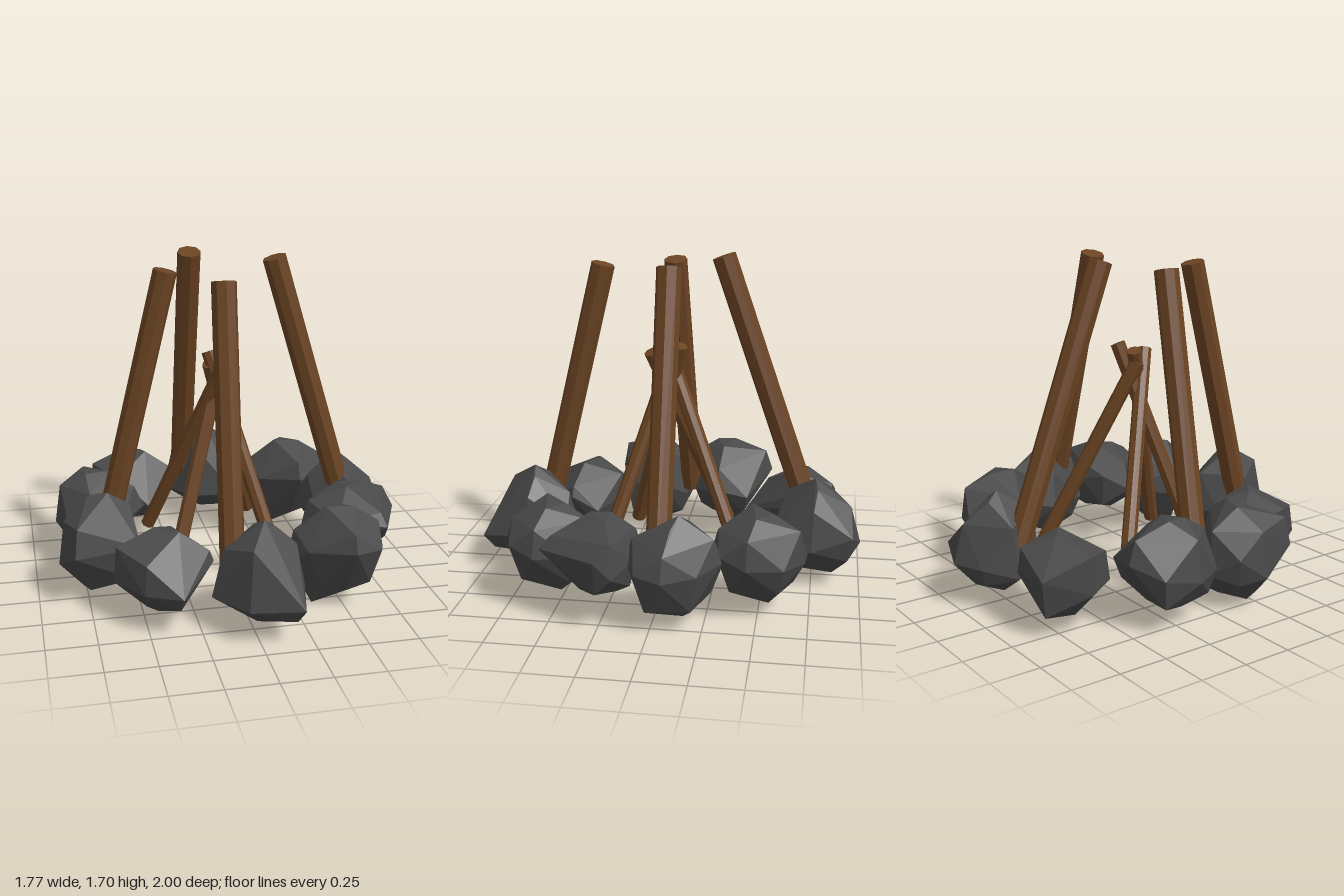
import * as THREE from 'three';
import { ConvexGeometry } from 'three/addons/geometries/ConvexGeometry.js';

const stone = new THREE.MeshStandardMaterial({ color: 0x484848, flatShading: true });
const wood = new THREE.MeshStandardMaterial({ color: 0x6b4423, flatShading: true });

// Faceted boulder: hull of a plan outline at its widest level, with rings
// above and below scaled by "top" and "bottom", plus optional peak and foot.
function rockGeometry({ outline, y0, y1, level = 0.5, top = 0.85, bottom = 0.85, corners = [] }, seed) {
  const random = () => (seed = (seed * 16807) % 2147483647) / 2147483647;
  const cx = outline.reduce((s, p) => s + p[0], 0) / outline.length;
  const cz = outline.reduce((s, p) => s + p[1], 0) / outline.length;
  const points = corners.map((c) => new THREE.Vector3(...c));
  const ring = (scale, height, wobble, step, start) => {
    for (let i = start; i < outline.length; i += step) {
      const s = scale * (scale < 1 ? 0.95 + 0.1 * random() : 1);
      const t = THREE.MathUtils.clamp(height + wobble * (random() - 0.5), 0, 1);
      points.push(new THREE.Vector3(
        cx + (outline[i][0] - cx) * s,
        y0 + (y1 - y0) * t,
        cz + (outline[i][1] - cz) * s));
    }
  };
  ring(1, level, 0.25, 1, 0);
  ring(top, 0.78, 0.14, 2, 0);
  ring(0.3, 0.97, 0.06, 3, 1);
  ring(bottom, 0.17, 0.12, 2, 1);
  ring(0.4, 0.02, 0.05, 3, 0);
  return new ConvexGeometry(points);
}

// Octagonal pole between two points.
function pole(name, from, to, radius) {
  const a = new THREE.Vector3(...from), b = new THREE.Vector3(...to);
  const dir = b.clone().sub(a);
  const mesh = new THREE.Mesh(new THREE.CylinderGeometry(radius, radius, dir.length(), 8), wood);
  mesh.position.copy(a).add(b).multiplyScalar(0.5);
  mesh.quaternion.setFromUnitVectors(new THREE.Vector3(0, 1, 0), dir.normalize());
  mesh.name = name;
  return mesh;
}

// Plan outlines (x, z); "repeat" places a second copy further forward.
const rocks = [
  { y0: 0.06, y1: 0.54, level: 0.36, top: 0.76, repeat: 1.495, corners: [[.05, .56, -.76]],
    outline: [[-.2, -.78], [-.08, -.92], [.06, -1], [.2, -.96], [.25, -.75], [.19, -.5], [-.06, -.57]] },
  { y0: 0.06, y1: 0.46, top: 0.92, repeat: 1.19,
    outline: [[-.645, -.65], [-.55, -.865], [-.33, -.865], [-.19, -.74], [-.165, -.6], [-.35, -.37],
      [-.52, -.47]] },
  { y0: 0.07, y1: 0.53,
    outline: [[-.88, -.2], [-.85, -.39], [-.71, -.495], [-.4, -.37], [-.4, -.2], [-.55, -.06],
      [-.71, -.02], [-.82, -.06]] },
  { y0: 0.035, y1: 0.53, level: 0.4,
    outline: [[-.89, .2], [-.84, .07], [-.71, -.02], [-.58, 0], [-.485, .14], [-.485, .34], [-.82, .415]] },
  { y0: 0.08, y1: 0.52, bottom: 0.72, repeat: 1.035, corners: [[.35, 0, -.5], [.4, .535, -.46]],
    outline: [[.22, -.51], [.4, -.735], [.51, -.725], [.64, -.63], [.7, -.45], [.65, -.32], [.51, -.275],
      [.3, -.39]] },
  { y0: 0.14, y1: 0.54,
    outline: [[.36, .27], [.43, .14], [.56, .07], [.72, .08], [.87, .16], [.87, .25], [.74, .54],
      [.5, .46]] },
  { y0: 0.05, y1: 0.53, bottom: 0.74, corners: [[.68, .56, -.13]],
    outline: [[.48, -.15], [.53, -.335], [.67, -.335], [.8, -.23], [.885, -.07], [.86, .06], [.69, .13],
      [.52, .04]] },
];

// Base and top of each pole.
const logs = [
  [[-.62, .25, -.03], [-.295, 1.63, .025]],
  [[.7, .25, -.03], [.275, 1.67, -.025]],
  [[-.095, .25, .705], [-.07, 1.63, .37]],
  [[-.1, .25, -.75], [-.125, 1.675, -.25]],
];
const sticks = [
  [[-.37, .16, -.265], [0, 1.19, .11]],
  [[.225, .16, -.39], [-.07, 1.14, .015]],
  [[-.29, .16, .235], [.02, 1.23, -.045]],
  [[.22, .16, .325], [-.07, 1.2, -.005]],
];

export function createModel() {
  const model = new THREE.Group();
  model.name = 'campfire';

  // Ring of stones
  const stoneRing = new THREE.Group();
  stoneRing.name = 'stoneRing';
  rocks.forEach((rock, i) => {
    const geometry = rockGeometry(rock, 1234 + i * 977);
    for (const z of rock.repeat ? [0, rock.repeat] : [0]) {
      const mesh = new THREE.Mesh(geometry, stone);
      mesh.position.z = z;
      mesh.name = 'rock';
      stoneRing.add(mesh);
    }
  });

  // Tall outer logs and the thin sticks crossing in the middle
  const outerLogs = new THREE.Group();
  outerLogs.name = 'outerLogs';
  logs.forEach(([a, b]) => outerLogs.add(pole('log', a, b, 0.062)));
  const kindling = new THREE.Group();
  kindling.name = 'kindling';
  sticks.forEach(([a, b]) => kindling.add(pole('stick', a, b, 0.039)));

  model.add(stoneRing, outerLogs, kindling);
  return model;
}
